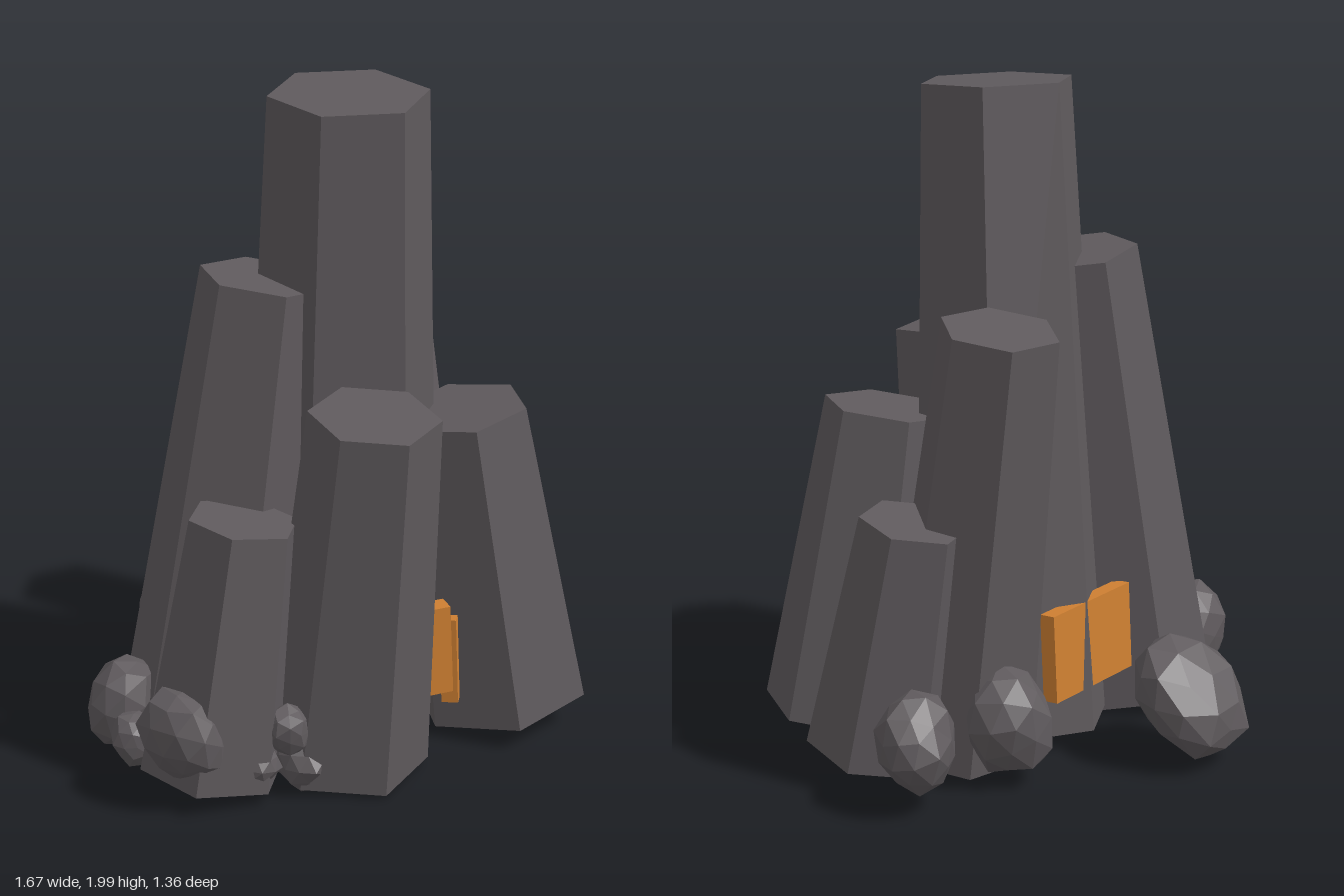
import * as THREE from 'three';

const stone = new THREE.MeshStandardMaterial({ color: 0x5f5a5d });
stone.name = 'dark stone';
const amber = new THREE.MeshStandardMaterial({ color: 0xcf8032 });
amber.name = 'amber glow';

const UP = new THREE.Vector3(0, 1, 0);

function flat(geometry) {
  const g = geometry.index ? geometry.toNonIndexed() : geometry;
  g.computeVertexNormals();
  return g;
}

// Tapered hexagonal column leaning from base to top; corner = x,z direction of one edge
function column(name, base, top, rBase, rTop, corner) {
  const a = new THREE.Vector3(...base), b = new THREE.Vector3(...top);
  const axis = b.clone().sub(a);
  const geo = new THREE.CylinderGeometry(rTop, rBase, axis.length(), 6, 1, false, Math.atan2(corner[0], corner[1]));
  const mesh = new THREE.Mesh(flat(geo), stone);
  mesh.name = name;
  mesh.position.copy(a).add(b).multiplyScalar(0.5);
  mesh.quaternion.setFromUnitVectors(UP, axis.normalize());
  return mesh;
}

// Faceted boulder: an icosphere with each corner pushed in or out
function rock(name, pos, radii, rot, seed) {
  const geo = new THREE.IcosahedronGeometry(1, 1);
  const p = geo.attributes.position;
  const v = new THREE.Vector3();
  for (let i = 0; i < p.count; i++) {
    v.fromBufferAttribute(p, i);
    const h = Math.sin(Math.round(v.x * 100) * 1.27 + Math.round(v.y * 100) * 3.11 + Math.round(v.z * 100) * 7.47 + seed * 5.3) * 437.58;
    v.multiplyScalar(0.87 + 0.2 * (h - Math.floor(h)));
    p.setXYZ(i, v.x * radii[0], v.y * radii[1], v.z * radii[2]);
  }
  const mesh = new THREE.Mesh(flat(geo), stone);
  mesh.name = name;
  mesh.position.set(...pos);
  mesh.rotation.set(...rot);
  return mesh;
}

// Glowing slab wedged between columns
function slab(name, pos, size, rot) {
  const mesh = new THREE.Mesh(new THREE.BoxGeometry(...size), amber);
  mesh.name = name;
  mesh.position.set(...pos);
  mesh.rotation.set(...rot);
  return mesh;
}

export function createModel() {
  const model = new THREE.Group();
  model.name = 'basaltColumns';

  // Columns
  model.add(
    column('centralColumn', [0.02, 0.04, 0.06], [-0.038, 1.987, 0.165], 0.315, 0.235, [0.02, -1]),
    column('backRightColumn', [-0.41, 0.05, -0.045], [-0.24, 1.455, 0.035], 0.275, 0.195, [-0.25, 0.03]),
    column('frontRightColumn', [-0.22, 0.045, 0.355], [-0.24, 1.16, 0.5], 0.25, 0.19, [-0.04, 0.18]),
    column('frontLeftColumn', [0.365, 0.075, 0.425], [0.245, 1.02, 0.355], 0.27, 0.2, [0.27, 0.01]),
    column('backLeftColumn', [0.325, 0.05, 0.04], [0.35, 1.355, -0.157], 0.24, 0.178, [-0.063, -0.17]),
    column('outerRightColumn', [-0.59, 0.06, 0.185], [-0.5, 0.835, 0.235], 0.22, 0.165, [0.03, 0.2]),
    column('outerLeftColumn', [0.56, 0.08, 0.14], [0.53, 0.795, 0.015], 0.215, 0.162, [0.2, -0.06]),
  );

  // Slabs
  model.add(
    slab('frontSlab', [0.025, 0.33, 0.44], [0.15, 0.28, 0.06], [0, -0.4, 0.05]),
    slab('frontSlabSmall', [0.095, 0.29, 0.475], [0.05, 0.27, 0.04], [0, -0.9, 0.04]),
    slab('backSlab', [-0.015, 0.32, -0.195], [0.39, 0.27, 0.05], [0.05, 0.03, 0]),
    slab('rightSlab', [-0.39, 0.32, 0.2], [0.05, 0.27, 0.14], [0, 0.15, 0]),
    slab('leftSlab', [0.39, 0.32, 0.17], [0.05, 0.27, 0.14], [0, 0, 0]),
  );

  // Boulders
  const rocks = [
    [[-0.08, 0.215, -0.53], [0.19, 0.115, 0.21], [-0.83, 0, 0]],
    [[0.7, 0.205, -0.125], [0.155, 0.15, 0.115], [0.2, 0.4, 0.25]],
    [[0.38, 0.195, -0.21], [0.14, 0.165, 0.135], [0.2, 0.3, 0]],
    [[-0.73, 0.225, 0.23], [0.11, 0.15, 0.145], [0, 0.3, 0.2]],
    [[-0.66, 0.18, -0.13], [0.135, 0.15, 0.11], [0.3, 0.4, -0.2]],
    [[-0.73, 0.13, 0.0], [0.08, 0.085, 0.075], [0, 0.5, 0]],
    [[-0.47, 0.215, 0.39], [0.075, 0.085, 0.075], [0.4, 0, 0.3]],
    [[-0.4, 0.1, 0.38], [0.11, 0.095, 0.09], [0, 0.7, 0]],
    [[-0.55, 0.11, 0.33], [0.08, 0.07, 0.08], [0, 0.2, 0.3]],
    [[0.42, 0.1, 0.12], [0.1, 0.07, 0.1], [0, 0.6, 0]],
  ];
  rocks.forEach(([pos, radii, rot], i) => model.add(rock('boulder' + (i + 1), pos, radii, rot, i + 1)));

  return model;
}
